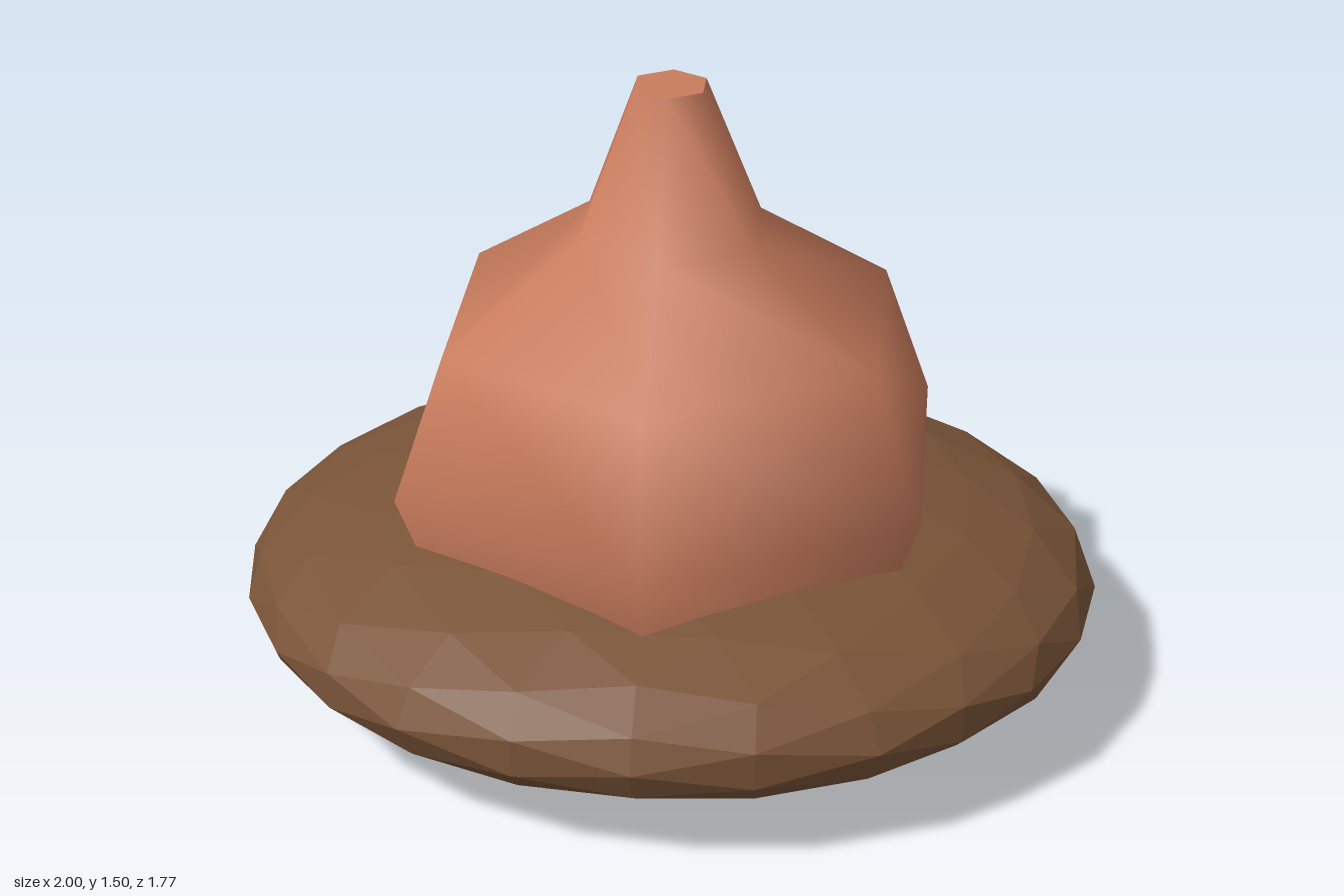
import * as THREE from 'three';

const clay = new THREE.MeshStandardMaterial({ color: 0xc97c5d });
clay.name = 'clay';
const earth = new THREE.MeshStandardMaterial({ color: 0x7a5438 });
earth.name = 'earth';

const SIDES = 6;

// Sphere of near-equal triangles, each icosahedron face halved twice
function facetedBall() {
  const coarse = new THREE.IcosahedronGeometry(1, 1);
  const corners = Array.from(coarse.attributes.position.array);
  const order = Array.from({ length: corners.length / 3 }, (_, i) => i);
  return new THREE.PolyhedronGeometry(corners, order, 1, 1);
}

export function createModel() {
  const group = new THREE.Group();
  group.name = 'moundedHut';

  // Wide flattened base with flat facets
  const baseGeometry = facetedBall();
  baseGeometry.scale(1, 0.277, 0.887);
  baseGeometry.translate(0, 0.282, 0);
  baseGeometry.computeVertexNormals();
  const base = new THREE.Mesh(baseGeometry, earth);
  base.name = 'base';
  group.add(base);

  // Six-sided body with smooth normals, tapering to a spout
  const profile = [
    [0.565, 0.3], [0.68, 0.615], [0.555, 0.948], [0.226, 1.168], [0.088, 1.505],
  ].map(([r, y]) => new THREE.Vector2(r, y));
  const body = new THREE.Mesh(new THREE.LatheGeometry(profile, SIDES), clay);
  body.name = 'body';
  group.add(body);

  // Flat lids closing the body, top and hidden underside
  for (const [name, point, turn] of [
    ['spoutTop', profile[profile.length - 1], -1],
    ['bodyUnderside', profile[0], 1],
  ]) {
    const geometry = new THREE.CircleGeometry(point.x, SIDES, Math.PI / 2);
    geometry.rotateX(turn * Math.PI / 2);
    const lid = new THREE.Mesh(geometry, clay);
    lid.name = name;
    lid.position.y = point.y;
    group.add(lid);
  }

  return group;
}
